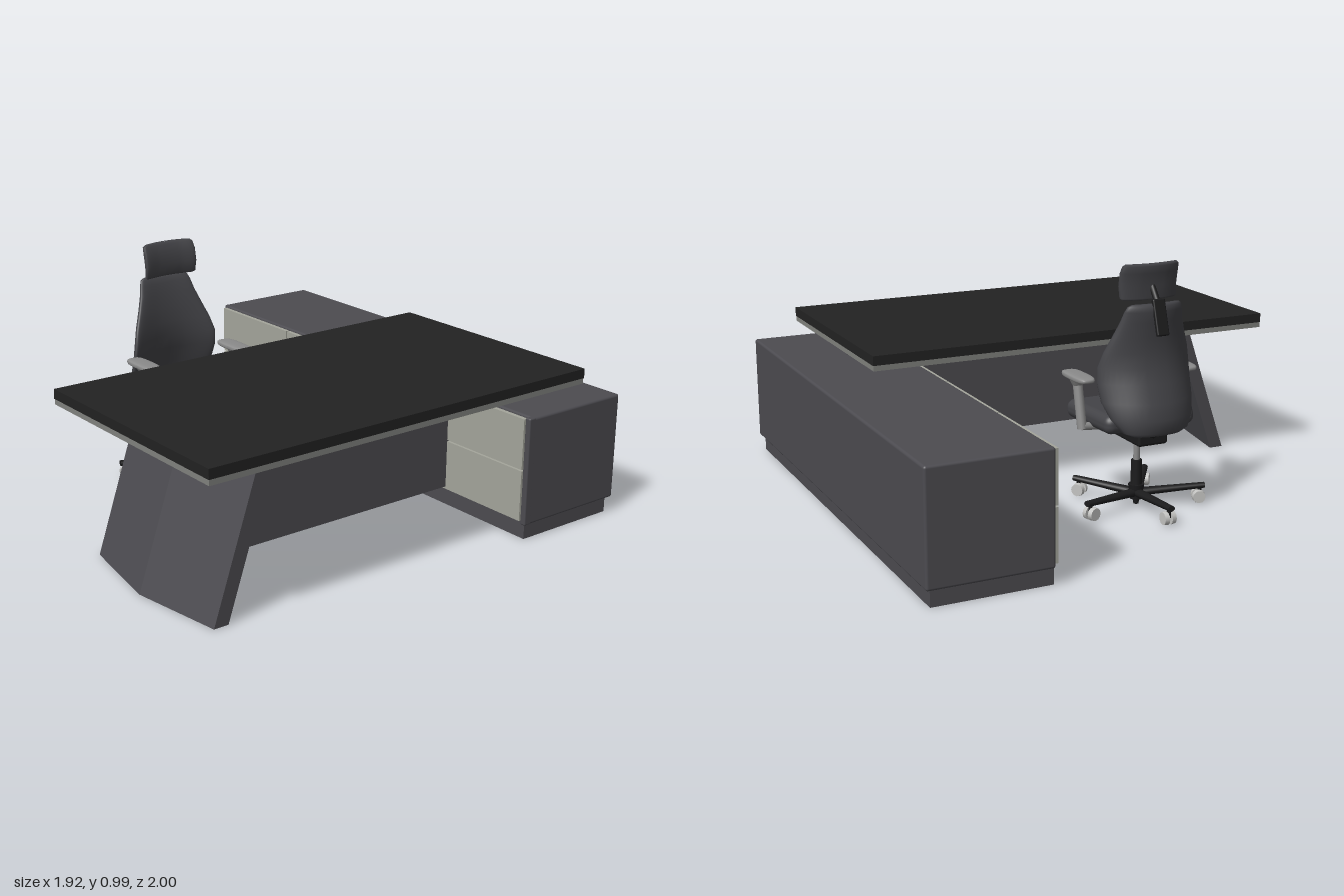
import * as THREE from 'three';
import { RoundedBoxGeometry } from 'three/addons/geometries/RoundedBoxGeometry.js';

const mat = (name, color) => {
  const m = new THREE.MeshStandardMaterial({ color });
  m.name = name;
  return m;
};

export function createModel() {
  const model = new THREE.Group();
  model.name = 'deskSet';
  const charcoal = mat('charcoal', 0x4c4b50);
  const black = mat('black', 0x222222);
  const drawerGrey = mat('drawerGrey', 0xa4a59b);
  const edgeGrey = mat('edgeGrey', 0x80817d);
  const upholstery = mat('upholstery', 0x434347);
  const padGrey = mat('padGrey', 0x8a8a8a);
  const casterGrey = mat('casterGrey', 0xc4c4c2);
  const basePlastic = mat('basePlastic', 0x1b1b1c);

  const add = (parent, name, geo, material) => {
    const m = new THREE.Mesh(geo, material);
    m.name = name;
    parent.add(m);
    return m;
  };
  // Box given by its limits; r rounds the edges
  const box = (parent, name, x0, x1, y0, y1, z0, z1, material, r = 0) => {
    const s = [x1 - x0, y1 - y0, z1 - z0];
    const geo = r ? new RoundedBoxGeometry(...s, 3, r) : new THREE.BoxGeometry(...s);
    const m = add(parent, name, geo, material);
    m.position.set((x0 + x1) / 2, (y0 + y1) / 2, (z0 + z1) / 2);
    return m;
  };
  // Round bar between two points
  const bar = (parent, name, a, b, r0, r1, material) => {
    const p = new THREE.Vector3(...a), q = new THREE.Vector3(...b);
    const m = add(parent, name, new THREE.CylinderGeometry(r1, r0, p.distanceTo(q), 12), material);
    m.position.copy(p).add(q).multiplyScalar(0.5);
    m.quaternion.setFromUnitVectors(new THREE.Vector3(0, 1, 0), q.sub(p).normalize());
    return m;
  };
  // Curved cushion from rows [y, half width, z centre, half thickness, forward wing]
  const cushion = (rows, power) => {
    const n = 40, pos = [], idx = [];
    const soft = v => Math.sign(v) * Math.pow(Math.abs(v), power);
    const first = rows[0], last = rows[rows.length - 1];
    const closed = [[first[0], 0.001, first[2], 0.001, 0], ...rows, [last[0], 0.001, last[2], 0.001, 0]];
    closed.forEach(([y, w, z, t, wing], i) => {
      for (let j = 0; j < n; j++) {
        const a = j / n * Math.PI * 2, c = soft(Math.cos(a));
        pos.push(w * c, y, z + wing * c * c + t * soft(Math.sin(a)));
        if (i === closed.length - 1) continue;
        const p = i * n + j, q = i * n + (j + 1) % n;
        idx.push(p, p + n, q, q, p + n, q + n);
      }
    });
    const g = new THREE.BufferGeometry();
    g.setAttribute('position', new THREE.Float32BufferAttribute(pos, 3));
    g.setIndex(idx);
    g.computeVertexNormals();
    return g;
  };

  // Desk top with a pale lower layer
  const desk = new THREE.Group();
  desk.name = 'desk';
  model.add(desk);
  box(desk, 'deskTop', -0.965, 0.782, 0.589, 0.627, -0.03, 0.97, black);
  box(desk, 'deskTopEdge', -0.963, 0.78, 0.567, 0.589, -0.028, 0.968, edgeGrey);

  // Slanted leg, bent outward along its middle
  const plan = [[-0.89, 0.13], [-0.83, 0.13], [-0.89, 0.505], [-0.83, 0.88], [-0.89, 0.88], [-0.95, 0.505]];
  const legGeo = new THREE.ExtrudeGeometry(
    new THREE.Shape(plan.map(([x, z]) => new THREE.Vector2(x, -z))),
    { depth: 0.567, bevelEnabled: false });
  legGeo.rotateX(-Math.PI / 2);
  legGeo.applyMatrix4(new THREE.Matrix4().makeShear(0, 0, 0.335, 0, 0, 0).identity()
    .set(1, 0.335, 0, 0, 0, 1, 0, 0, 0, 0, 1, 0, 0, 0, 0, 1));
  add(desk, 'slantedLeg', legGeo, charcoal);

  // Modesty panel
  const panel = new THREE.Shape([[-0.87, 0.085], [0.695, 0.085], [0.695, 0.567], [-0.71, 0.567]]
    .map(p => new THREE.Vector2(...p)));
  add(desk, 'modestyPanel', new THREE.ExtrudeGeometry(panel, { depth: 0.02, bevelEnabled: false }), charcoal)
    .position.z = 0.54;

  // Side cabinet
  const cabinet = new THREE.Group();
  cabinet.name = 'cabinet';
  model.add(cabinet);
  box(cabinet, 'cabinetBody', 0.485, 0.96, 0.065, 0.497, -1, 1, charcoal, 0.01);
  box(cabinet, 'cabinetEndPanel', 0.465, 0.5, 0.065, 0.497, 0.975, 1, charcoal, 0.006);
  box(cabinet, 'cabinetPlinth', 0.485, 0.94, 0, 0.07, -0.98, 0.98, charcoal);
  for (let c = 0; c < 4; c++) for (let r = 0; r < 2; r++) {
    const z = -0.98 + c * 0.489, y = 0.075 + r * 0.209;
    box(cabinet, 'drawerFront', 0.467, 0.487, y, y + 0.203, z, z + 0.481, drawerGrey);
  }

  // Chair, placed around its column
  const chair = new THREE.Group();
  chair.name = 'chair';
  chair.position.set(-0.165, 0, -0.39);
  model.add(chair);

  // Five-star base with twin-wheel casters
  for (let i = 0; i < 5; i++) {
    const spoke = new THREE.Group();
    spoke.name = 'baseSpoke';
    spoke.rotation.y = i * Math.PI * 0.4;
    chair.add(spoke);
    const arm = bar(spoke, 'baseArm', [0, 0.055, 0], [0, 0.071, -0.275], 0.022, 0.015, basePlastic);
    arm.scale.z = 0.75;
    bar(spoke, 'casterStem', [0, 0.03, -0.255], [0, 0.07, -0.255], 0.008, 0.008, basePlastic);
    for (const s of [-1, 1])
      bar(spoke, 'casterWheel', [s * 0.006, 0.028, -0.25], [s * 0.024, 0.028, -0.25], 0.027, 0.025, casterGrey);
  }
  bar(chair, 'baseHub', [0, 0.03, 0], [0, 0.09, 0], 0.025, 0.032, basePlastic);
  bar(chair, 'columnTip', [0, 0.008, 0], [0, 0.03, 0], 0.01, 0.014, basePlastic);
  bar(chair, 'columnSleeve', [0, 0.09, 0], [0, 0.19, 0], 0.023, 0.021, basePlastic);
  bar(chair, 'gasColumn', [0, 0.19, 0], [0, 0.3, 0], 0.013, 0.013, padGrey);
  box(chair, 'tiltMechanism', -0.065, 0.065, 0.28, 0.345, -0.13, 0.08, basePlastic, 0.012);

  // Seat, dipping at the front edge
  const seatGeo = new RoundedBoxGeometry(0.39, 0.075, 0.36, 6, 0.033);
  const sp = seatGeo.attributes.position;
  for (let i = 0; i < sp.count; i++) if (sp.getZ(i) > 0.13) sp.setY(i, sp.getY(i) - 0.01);
  add(chair, 'seat', seatGeo, upholstery).position.set(0, 0.375, 0.06);

  // Backrest with wings curving forward
  add(chair, 'backrest', cushion([
    [0.335, 0.10, -0.165, 0.022, 0.01], [0.35, 0.14, -0.17, 0.034, 0.03],
    [0.40, 0.175, -0.17, 0.04, 0.06], [0.46, 0.195, -0.155, 0.04, 0.085],
    [0.53, 0.20, -0.13, 0.038, 0.085], [0.59, 0.197, -0.115, 0.035, 0.075],
    [0.65, 0.18, -0.112, 0.031, 0.055], [0.71, 0.155, -0.117, 0.029, 0.04],
    [0.77, 0.132, -0.128, 0.027, 0.03], [0.81, 0.122, -0.137, 0.024, 0.025],
    [0.83, 0.114, -0.14, 0.018, 0.02], [0.838, 0.10, -0.14, 0.01, 0.015]], 0.8), upholstery);

  // Headrest and its bracket
  add(chair, 'headrest', cushion([
    [0.847, 0.112, -0.095, 0.009, 0.02], [0.854, 0.12, -0.095, 0.016, 0.025],
    [0.90, 0.122, -0.09, 0.02, 0.025], [0.95, 0.122, -0.1, 0.02, 0.025],
    [0.977, 0.119, -0.109, 0.016, 0.022], [0.985, 0.11, -0.11, 0.009, 0.02]], 0.55), upholstery);
  const bracket = box(chair, 'headrestBracket', -0.026, 0.026, 0.72, 0.86, -0.176, -0.158, basePlastic, 0.006);
  bracket.rotation.x = 0.3;
  bar(chair, 'headrestNeck', [0, 0.84, -0.145], [0, 0.9, -0.1], 0.012, 0.012, basePlastic);
  bar(chair, 'backSupport', [0, 0.32, -0.1], [0, 0.42, -0.18], 0.03, 0.03, basePlastic);

  // Armrests
  for (const s of [-1, 1]) {
    bar(chair, 'armBracket', [s * 0.1, 0.335, 0.03], [s * 0.225, 0.345, 0.03], 0.016, 0.016, padGrey);
    bar(chair, 'armPost', [s * 0.225, 0.335, 0.03], [s * 0.225, 0.51, 0.07], 0.019, 0.019, padGrey);
    bar(chair, 'padMount', [s * 0.225, 0.5, 0.07], [s * 0.225, 0.53, 0.07], 0.02, 0.036, padGrey);
    const pad = add(chair, 'armPad', new THREE.SphereGeometry(1, 28, 16), padGrey);
    const p = pad.geometry.attributes.position;
    for (let i = 0; i < p.count; i++) {
      const f = v => Math.sign(v) * Math.pow(Math.abs(v), 0.6);
      p.setXYZ(i, 0.038 * f(p.getX(i)), 0.013 * f(p.getY(i)), 0.097 * f(p.getZ(i)));
    }
    pad.geometry.computeVertexNormals();
    pad.position.set(s * 0.225, 0.535, 0.065);
  }
  return model;
}
